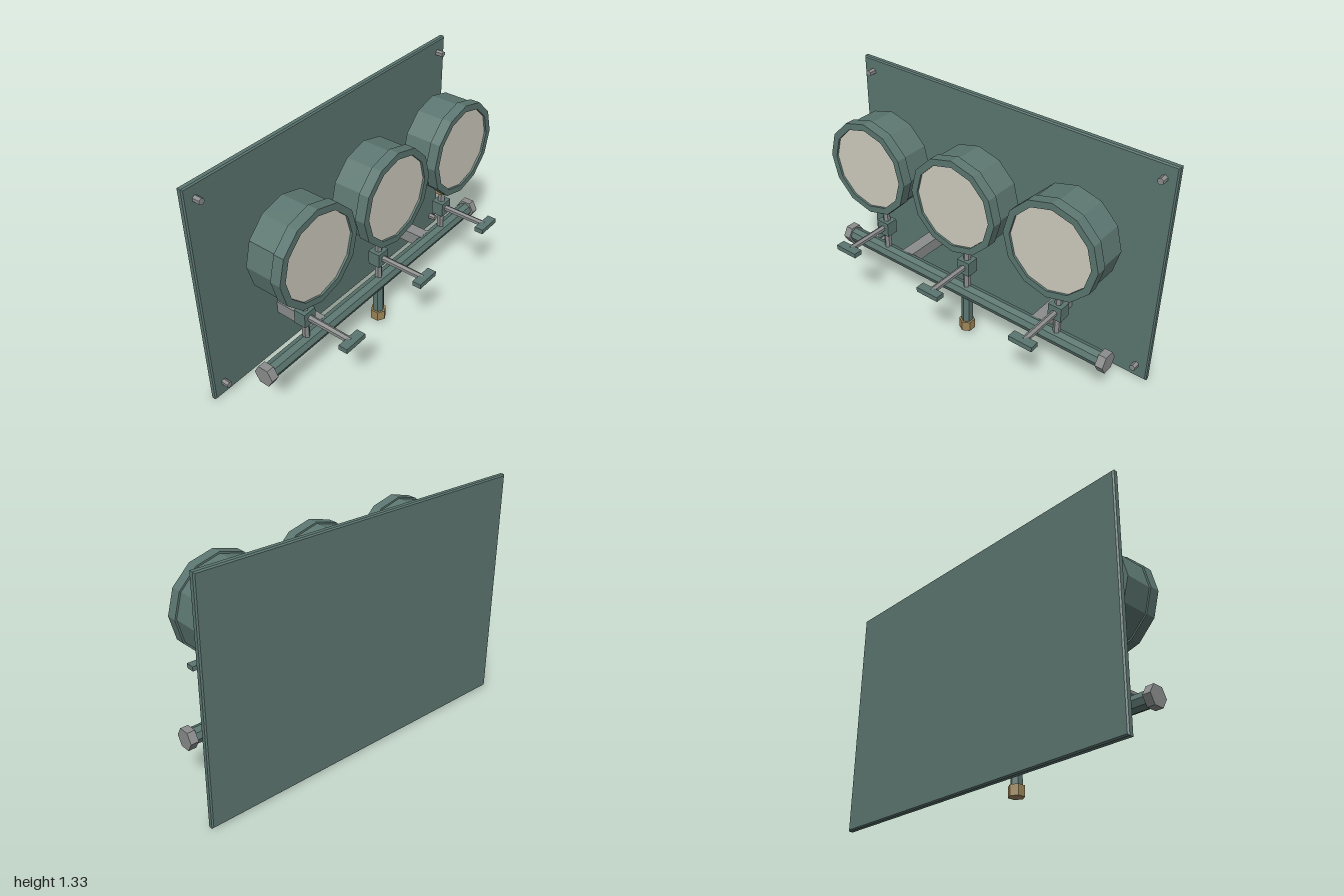
import * as THREE from 'three';

const material = (name, color) => {
  const m = new THREE.MeshStandardMaterial({ color, flatShading: true });
  m.name = name;
  return m;
};

export function createModel() {
  const teal = material('teal paint', 0x5c7670);
  const cream = material('cream dial', 0xd0ccc0);
  const grey = material('grey steel', 0x8a8d8c);
  const brass = material('brass', 0x9c8658);

  const root = new THREE.Group();
  root.name = 'gaugePanel';

  const add = (parent, name, geometry, mat, x, y, z) => {
    const mesh = new THREE.Mesh(geometry, mat);
    mesh.name = name;
    mesh.position.set(x, y, z);
    parent.add(mesh);
    return mesh;
  };
  // Prism along the x, y or z axis
  const prism = (r, length, sides, axis = 'y') => {
    const g = new THREE.CylinderGeometry(r, r, length, sides);
    if (axis === 'x') g.rotateZ(Math.PI / 2);
    if (axis === 'z') g.rotateX(Math.PI / 2);
    return g;
  };
  const box = (w, h, d) => new THREE.BoxGeometry(w, h, d);

  // Back panel with chamfered edges
  const c = 0.007, w = 1 - c, top = 1.33 - c;
  const outline = new THREE.Shape([
    new THREE.Vector2(-w, c), new THREE.Vector2(w, c),
    new THREE.Vector2(w, top), new THREE.Vector2(-w, top),
  ]);
  const panel = new THREE.ExtrudeGeometry(outline, {
    depth: 0.036 - 2 * c, bevelEnabled: true, bevelSize: c, bevelThickness: c, bevelSegments: 1,
  });
  add(root, 'backPanel', panel, teal, 0, 0, -0.333 + c);

  // Corner bolts and manifold brackets
  for (const side of [-1, 1]) {
    for (const y of [0.085, 1.253]) {
      add(root, 'panelBolt', prism(0.018, 0.045, 6, 'z'), grey, side * 0.932, y, -0.277);
    }
    add(root, 'bracket', box(0.075, 0.076, 0.28), grey, side * 0.467, 0.302, -0.16);
    add(root, 'endCap', prism(0.06, 0.045, 6, 'x'), grey, side * 0.895, 0.302, 0);
  }

  // Manifold and drain
  add(root, 'manifoldPipe', prism(0.045, 1.76, 8, 'x'), teal, 0, 0.302, 0);
  add(root, 'drainPipe', prism(0.033, 0.22, 6), teal, 0, 0.19, 0);
  add(root, 'drainNut', prism(0.045, 0.06, 6), brass, 0, 0.07, 0);

  // Gauge case with raised bezel and recessed dial
  const caseProfile = [
    [0, -0.094], [0.263, -0.094], [0.263, 0.067], [0.273, 0.067],
    [0.273, 0.126], [0.235, 0.126], [0.235, 0.11],
  ].map(([r, y]) => new THREE.Vector2(r, y));
  const caseGeometry = new THREE.LatheGeometry(caseProfile, 12).rotateX(Math.PI / 2);

  for (const x of [-0.6, 0, 0.6]) {
    const gauge = new THREE.Group();
    gauge.name = 'gaugeAssembly';
    gauge.position.x = x;
    root.add(gauge);
    add(gauge, 'gaugeCase', caseGeometry, teal, 0, 0.917, 0);
    add(gauge, 'dial', new THREE.CircleGeometry(0.236, 12), cream, 0, 0.917, 0.114);
    add(gauge, 'gaugeNut', prism(0.045, 0.08, 6), brass, 0, 0.627, 0);
    add(gauge, 'stem', prism(0.021, 0.3, 6), grey, 0, 0.46, 0);

    // Shut-off valve with T handle
    add(gauge, 'valveBody', box(0.08, 0.086, 0.072), teal, 0, 0.482, 0);
    add(gauge, 'valveShaft', prism(0.018, 0.28, 6, 'z'), grey, 0, 0.482, 0.16);
    add(gauge, 'valveHandle', box(0.14, 0.028, 0.052), teal, 0, 0.482, 0.307);
  }
  return root;
}
